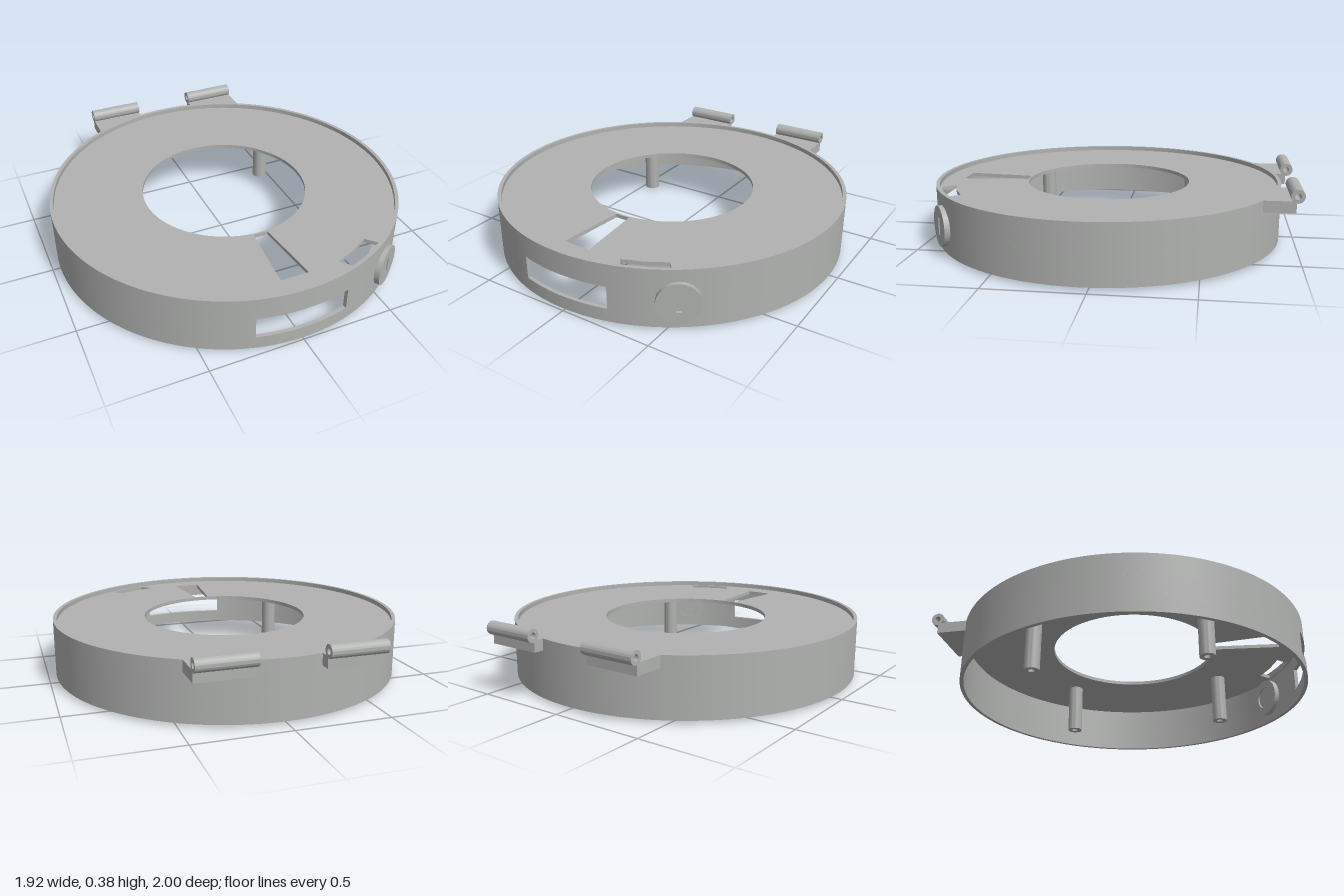
import * as THREE from 'three';
import { toCreasedNormals } from 'three/addons/utils/BufferGeometryUtils.js';

const R = 0.96, WALL = 0.02, TAU = Math.PI * 2;
const BOTTOM = 0.015, TOP = 0.325, PLATE_TOP = 0.3, PLATE_BOTTOM = 0.28;

export function createModel() {
  const model = new THREE.Group();
  model.name = 'roundHousing';
  const body = new THREE.Group();
  body.name = 'body';
  body.position.z = 0.04;
  model.add(body);
  const grey = new THREE.MeshStandardMaterial({ color: 0xb0b2b0 });
  grey.name = 'grey';

  function add(name, geometry, parent = body) {
    const mesh = new THREE.Mesh(geometry, grey);
    mesh.name = name;
    parent.add(mesh);
    return mesh;
  }
  function extrude(shape, depth, segments = 32) {
    return toCreasedNormals(new THREE.ExtrudeGeometry(shape, { depth, bevelEnabled: false, curveSegments: segments }), 0.5);
  }
  // Plan shape drawn in x, z and extruded between two heights
  function slab(shape, y0, y1, segments) {
    return extrude(shape, y1 - y0, segments).rotateX(Math.PI / 2).translate(0, y1, 0);
  }
  function circle(r, Type = THREE.Shape) {
    const c = new Type();
    c.absarc(0, 0, r, 0, TAU, false);
    return c;
  }
  function ring(outer, inner) {
    const s = circle(outer);
    s.holes.push(circle(inner, THREE.Path));
    return s;
  }
  function polygonHole(points) {
    return new THREE.Path(points.map(([x, y]) => new THREE.Vector2(x, y)));
  }

  // Outer wall in three bands; the middle one is open at the front window
  const half = Math.asin(0.248 / R);
  const a0 = Math.PI / 2 + half, a1 = Math.PI / 2 - half + TAU;
  const open = new THREE.Shape();
  open.absarc(0, 0, R, a0, a1, false);
  open.absarc(0, 0, R - WALL, a1, a0, true);
  add('wallLower', slab(ring(R, R - WALL), BOTTOM, 0.085, 128));
  add('wallMiddle', slab(open, 0.085, 0.205, 118));
  add('wallUpper', slab(ring(R, R - WALL), 0.205, TOP, 128));

  // Recessed top plate with centre hole, tapered slot and latch opening
  const plate = ring(R - WALL + 0.002, 0.455);
  plate.holes.push(polygonHole([[-0.04, 0.465], [0.04, 0.465], [0.075, 0.83], [-0.075, 0.83]]));
  plate.holes.push(polygonHole([[0.25, 0.82], [0.36, 0.777], [0.46, 0.72], [0.51, 0.775], [0.41, 0.835], [0.3, 0.88]]));
  add('topPlate', slab(plate, PLATE_BOTTOM, PLATE_TOP, 128));

  // Four hollow posts under the plate
  for (const x of [-0.455, 0.455]) {
    for (const z of [-0.455, 0.455]) {
      add('post', slab(ring(0.042, 0.018), 0, PLATE_BOTTOM + 0.002)).position.set(x, 0, z);
    }
  }

  // Two hinges: a bracket following the wall and a tubular knuckle
  const seat = R - 0.008, back = -1.0;
  for (const [x0, x1] of [[-0.47, -0.172], [0.172, 0.47]]) {
    const hinge = new THREE.Group();
    hinge.name = 'hinge';
    body.add(hinge);
    const bracket = new THREE.Shape();
    bracket.moveTo(x0, back);
    bracket.lineTo(x1, back);
    bracket.absarc(0, 0, seat, -Math.acos(x1 / seat), -Math.acos(x0 / seat), true);
    add('hingeBracket', slab(bracket, 0.265, TOP), hinge);
    add('hingeKnuckle', extrude(ring(0.035, 0.016), x1 - x0).rotateY(Math.PI / 2), hinge)
      .position.set(x0, 0.35, -1.005);
  }

  // Lock: slotted face outside, flange and barrel inside
  const lock = new THREE.Group();
  lock.name = 'lock';
  lock.position.y = 0.155;
  lock.rotation.y = THREE.MathUtils.degToRad(35);
  body.add(lock);
  const face = circle(0.108);
  face.holes.push(polygonHole([[-0.012, -0.045], [0.012, -0.045], [0.012, 0.045], [-0.012, 0.045]]));
  add('lockFace', extrude(face, 0.03), lock).position.z = 0.953;
  add('lockFlange', extrude(ring(0.108, 0.065), 0.03), lock).position.z = 0.895;
  add('lockBarrel', extrude(circle(0.066), 0.06), lock).position.z = 0.905;

  return model;
}
